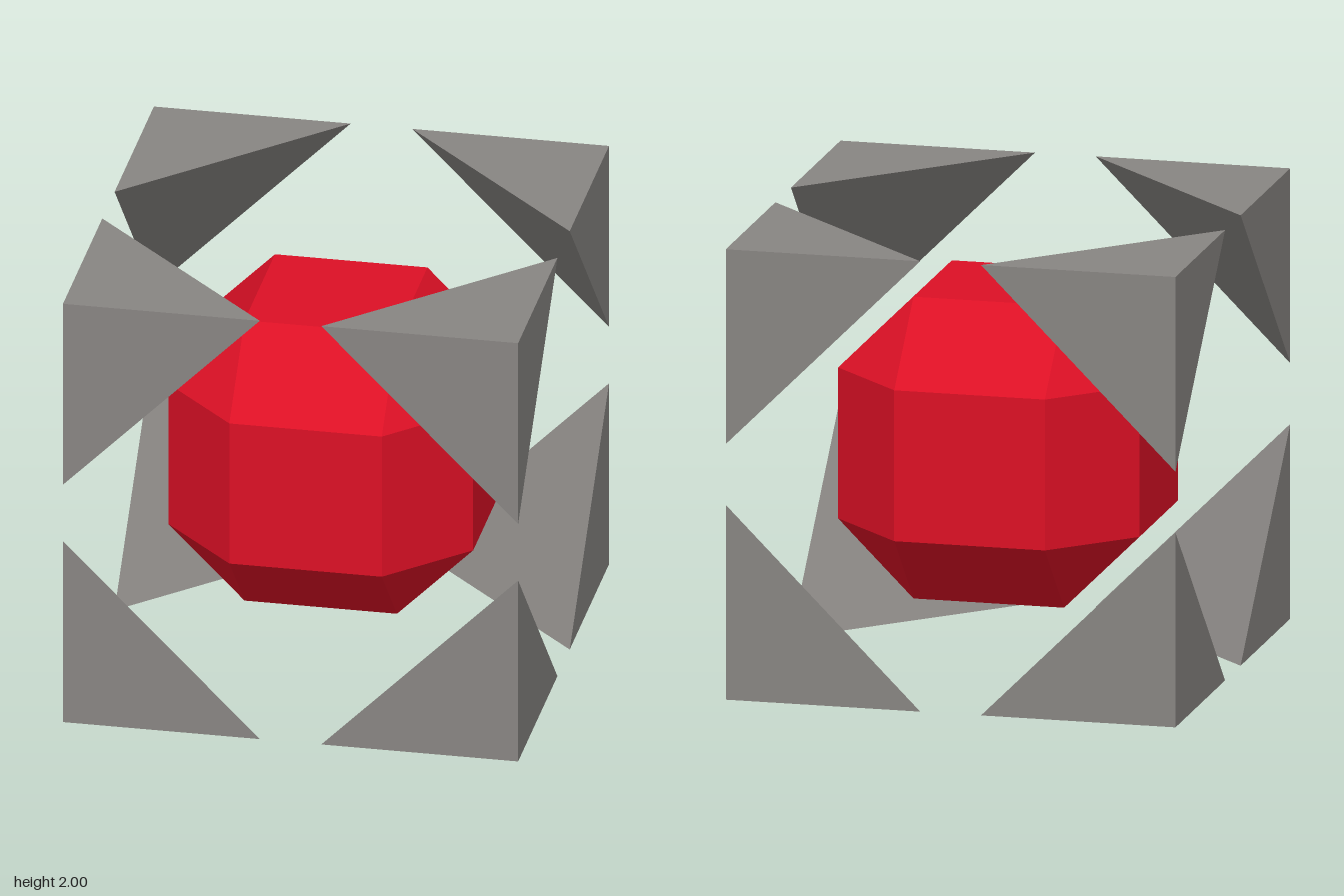
import * as THREE from 'three';
import { ConvexGeometry } from 'three/addons/geometries/ConvexGeometry.js';

const SIGNS = [-1, 1];

// calls fn for each of the eight octants
function eachOctant(fn) {
  for (const x of SIGNS) for (const y of SIGNS) for (const z of SIGNS) fn(x, y, z);
}

export function createModel() {
  const model = new THREE.Group();
  model.name = 'polyhedronWithCorners';
  const red = new THREE.MeshStandardMaterial({ name: 'red', color: 0xdc1025, flatShading: true });
  const grey = new THREE.MeshStandardMaterial({ name: 'grey', color: 0x888582, flatShading: true });

  // Core: 26-sided solid, each octant holding one corner triangle
  const a = 0.335, b = 0.67;
  const corePoints = [];
  eachOctant((x, y, z) => {
    for (const [p, q, r] of [[b, a, a], [a, b, a], [a, a, b]]) {
      corePoints.push(new THREE.Vector3(x * p, y * q, z * r));
    }
  });
  const core = new THREE.Mesh(new ConvexGeometry(corePoints), red);
  core.name = 'core';
  core.position.y = 1;
  model.add(core);

  // Corners: eight tetrahedra cut from the surrounding cube
  const t = 0.135;
  const corners = new THREE.Group();
  corners.name = 'corners';
  corners.position.y = 1;
  eachOctant((x, y, z) => {
    const points = [[1, 1, 1], [t, 1, 1], [1, t, 1], [1, 1, t]]
      .map(([p, q, r]) => new THREE.Vector3(x * p, y * q, z * r));
    const corner = new THREE.Mesh(new ConvexGeometry(points), grey);
    corner.name = `${y > 0 ? 'top' : 'bottom'}${z > 0 ? 'Front' : 'Back'}${x > 0 ? 'Left' : 'Right'}Corner`;
    corners.add(corner);
  });
  model.add(corners);

  return model;
}
